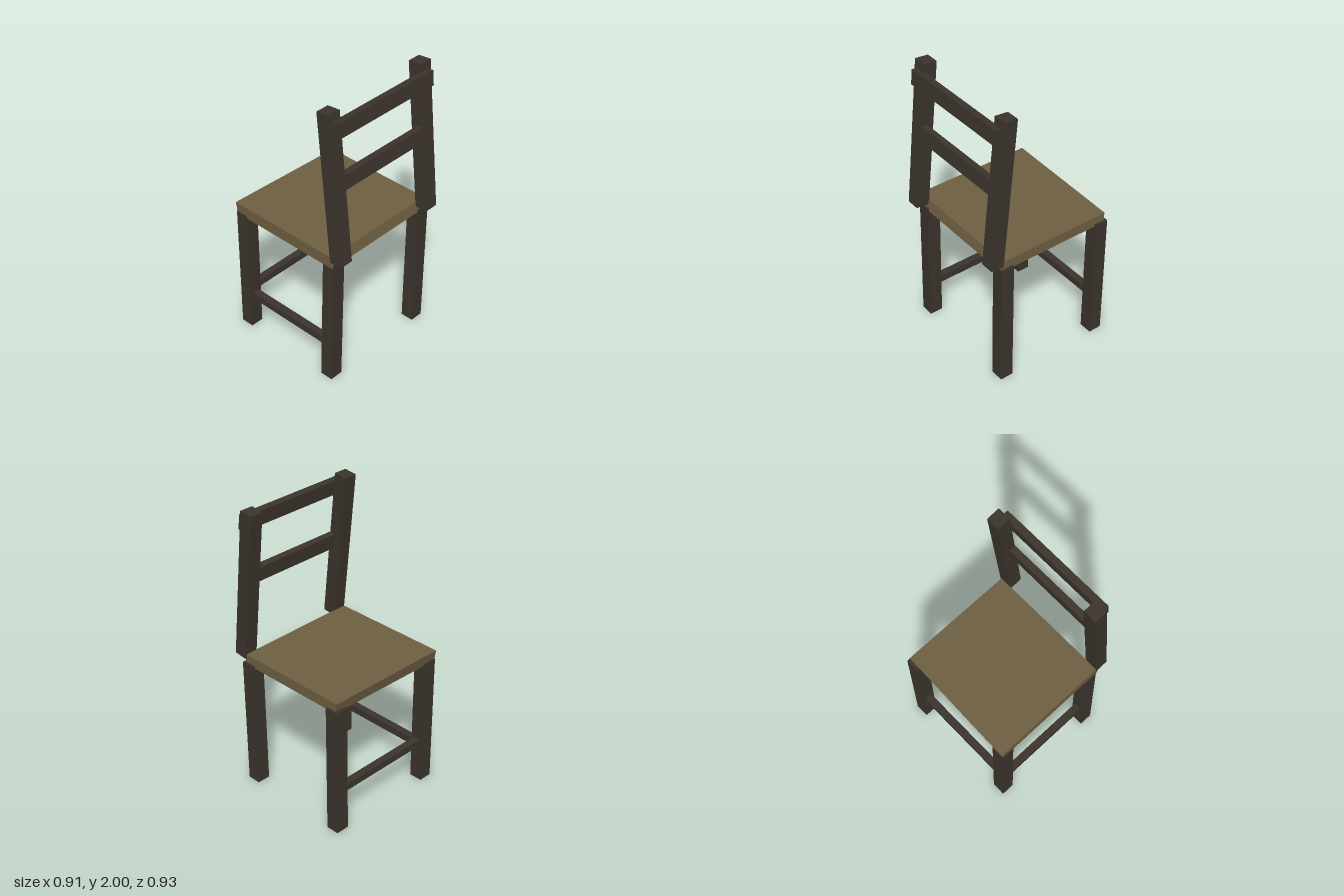
import * as THREE from 'three';

export function createModel() {
  const group = new THREE.Group();
  const make = (name, hex) => {
    const m = new THREE.MeshStandardMaterial({ color: hex });
    m.name = name;
    return m;
  };
  const darkWood = make('dark wood', 0x3d352e);
  const seatWood = make('seat wood', 0x6f6042);

  const add = (name, geometry, material, x, y, z) => {
    const mesh = new THREE.Mesh(geometry, material);
    mesh.name = name;
    mesh.position.set(x, y, z);
    group.add(mesh);
    return mesh;
  };
  const box = (name, w, h, d, x, y, z, tilt = 0) => {
    const mesh = add(name, new THREE.BoxGeometry(w, h, d), darkWood, x, y, z);
    mesh.rotation.x = tilt;
    return mesh;
  };

  // Legs, sheared slightly sideways: name, top x, bottom x, z
  const legs = [
    ['frontRightLeg', -0.386, -0.41, 0.343],
    ['frontLeftLeg', 0.408, 0.393, 0.343],
    ['backRightLeg', -0.4, -0.4, -0.412],
    ['backLeftLeg', 0.406, 0.395, -0.412],
  ];
  for (const [name, top, bottom, z] of legs) {
    const g = new THREE.BoxGeometry(0.094, 0.928, 0.092);
    const p = g.attributes.position;
    for (let i = 0; i < p.count; i++) p.setX(i, p.getX(i) + (p.getY(i) > 0 ? top : bottom));
    g.computeVertexNormals();
    add(name, g, darkWood, 0, 0.464, z);
  }

  // Stretchers between the legs
  box('backStretcher', 0.76, 0.05, 0.05, 0, 0.3, -0.412);
  box('sideStretcher', 0.05, 0.052, 0.72, -0.4, 0.256, -0.035);

  // Seat slab with a slightly skewed rear edge and sloping top
  const seat = new THREE.BoxGeometry(0.885, 0.08, 0.83);
  const sp = seat.attributes.position;
  for (let i = 0; i < sp.count; i++) {
    const left = sp.getX(i) > 0, top = sp.getY(i) > 0, front = sp.getZ(i) > 0;
    const y = top ? (left ? 0.984 : 0.993) : 0.911;
    const z = front ? (top ? 0.37 : 0.385) : (left ? -0.446 : -0.466) + (top ? 0 : 0.014);
    sp.setXYZ(i, left ? 0.438 : -0.445, y, z);
  }
  seat.computeVertexNormals();
  add('seat', seat, seatWood, 0, 0, 0);

  // Leaning backrest
  const lean = -0.1;
  for (const side of [-1, 1]) {
    box(side < 0 ? 'rightBackPost' : 'leftBackPost', 0.094, 1.041, 0.094, side * 0.4, 1.476, 0.366, lean);
  }
  box('topRail', 0.838, 0.102, 0.047, 0, 1.897, 0.388, lean);
  box('middleRail', 0.8, 0.102, 0.047, 0, 1.518, 0.387, lean);

  // Thin discs under the seat
  const disc = new THREE.CylinderGeometry(0.038, 0.038, 0.009, 16);
  for (const [x, z] of [[-0.06, -0.142], [0.127, -0.035], [0.127, 0.066]]) {
    add('undersideDisc', disc, darkWood, x, 0.891, z);
  }
  const plate = add('undersidePlate', new THREE.CylinderGeometry(0.07, 0.07, 0.008, 20), seatWood, 0, 0.884, 0.16);
  plate.scale.x = 1.57;

  return group;
}
